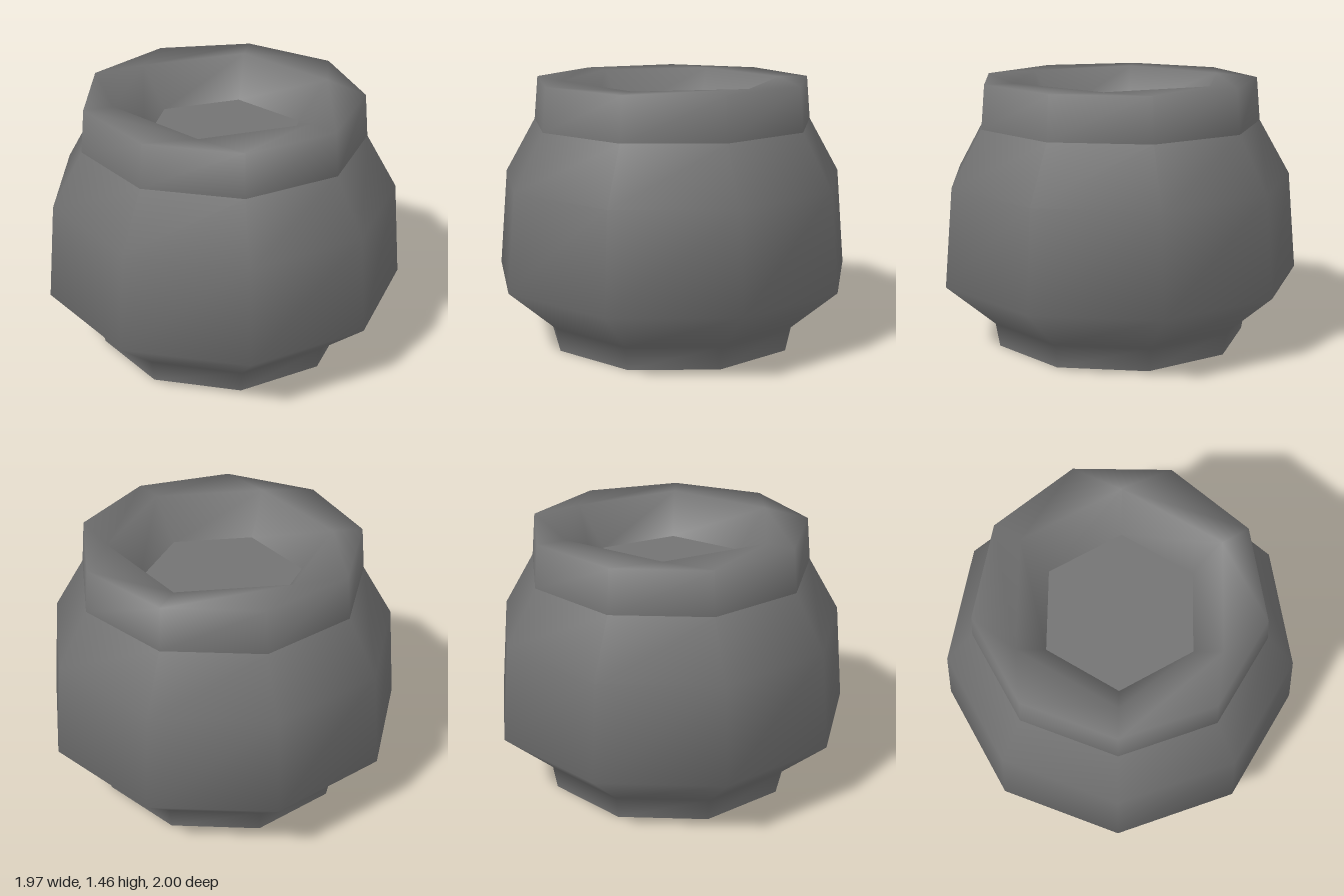
import * as THREE from 'three';

const CENTRE_X = 0.028;

// Loft rings [sides, radius, y]; neighbouring rings may differ in side count
function loft(rings) {
  const pos = [], index = [], starts = [];
  for (const [n, r, y] of rings) {
    starts.push(pos.length / 3);
    for (let i = 0; i < n; i++) {
      const a = Math.PI + (i / n) * Math.PI * 2;
      pos.push(r * Math.cos(a), y, r * Math.sin(a));
    }
  }
  for (let k = 0; k < rings.length - 1; k++) {
    const n = rings[k][0], m = rings[k + 1][0];
    const low = (i) => starts[k] + (i % n), up = (j) => starts[k + 1] + (j % m);
    let i = 0, j = 0;
    // stitch by always advancing the ring that lags behind in angle
    while (i < n || j < m) {
      if (j >= m || (i < n && (i + 1) / n <= (j + 1) / m)) {
        index.push(low(i), up(j), low(i + 1));
        i++;
      } else {
        index.push(low(i), up(j), up(j + 1));
        j++;
      }
    }
  }
  const g = new THREE.BufferGeometry();
  g.setAttribute('position', new THREE.Float32BufferAttribute(pos, 3));
  g.setIndex(index);
  g.computeVertexNormals();
  return g;
}

export function createModel() {
  const model = new THREE.Group();
  model.name = 'pot';
  const grey = new THREE.MeshStandardMaterial({ color: 0x737373 });
  grey.name = 'stone grey';

  const add = (name, geometry) => {
    const mesh = new THREE.Mesh(geometry, grey);
    mesh.name = name;
    mesh.position.x = CENTRE_X;
    model.add(mesh);
  };
  const disc = (sides, r, y, up) =>
    new THREE.CircleGeometry(r, sides, Math.PI).rotateX(up ? -Math.PI / 2 : Math.PI / 2).translate(0, y, 0);

  // nine-sided foot and belly
  add('body', loft([[9, 0.714, 0], [9, 0.737, 0.13], [9, 1.014, 0.37], [9, 0.967, 0.915], [9, 0.794, 1.22]]));
  // collar, flat rim and hexagonal well
  add('collar', loft([[9, 0.794, 1.22], [9, 0.773, 1.46], [6, 0.61, 1.46], [6, 0.447, 1.235]]));
  add('wellFloor', disc(6, 0.447, 1.235, true));
  add('base', disc(9, 0.714, 0, false));
  return model;
}
